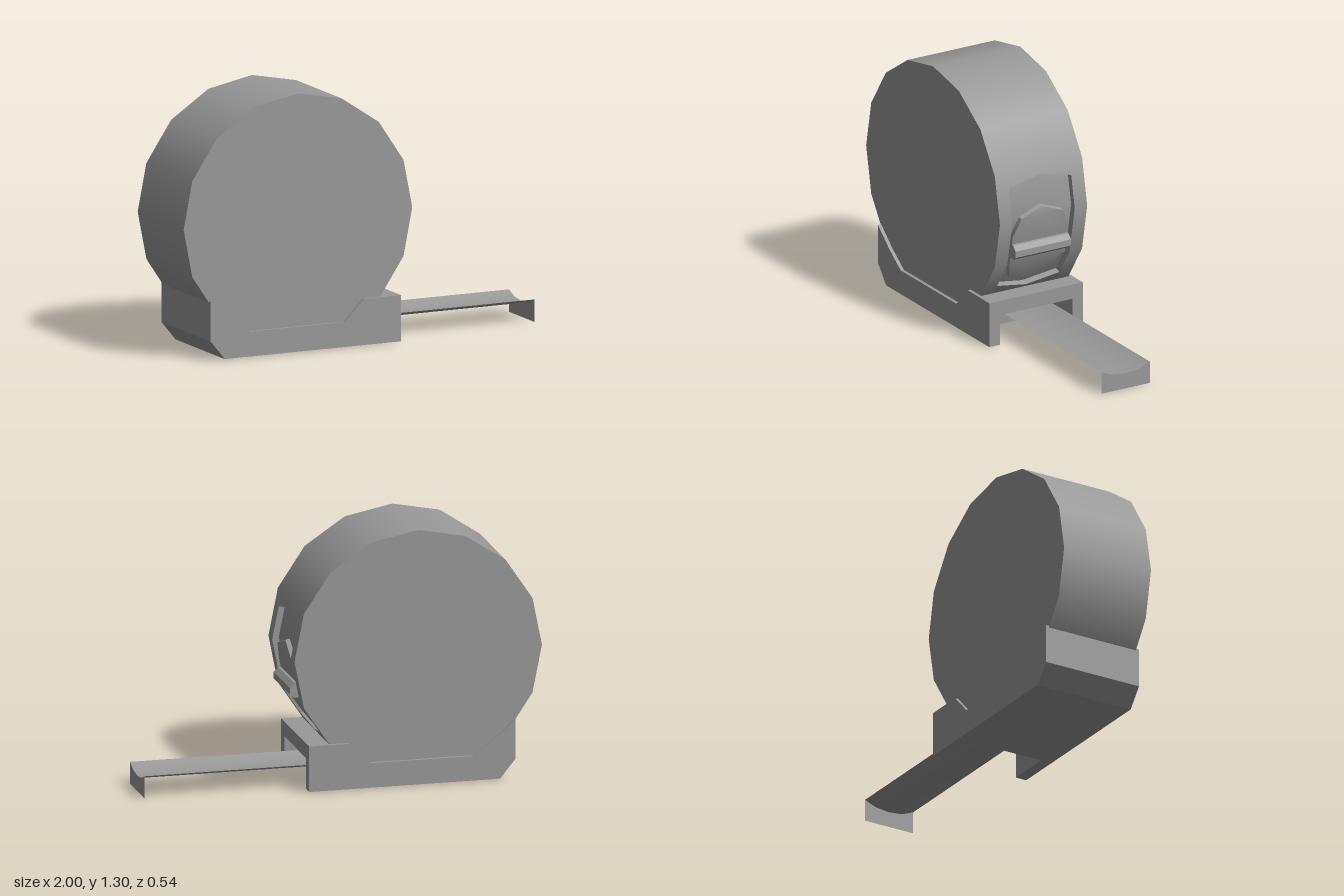
import * as THREE from 'three';
import { toCreasedNormals } from 'three/addons/utils/BufferGeometryUtils.js';

const CX = -0.37, CY = 0.67, R = 0.63, SIDES = 16;
const material = new THREE.MeshStandardMaterial({ color: 0x999999 });
const thinMaterial = new THREE.MeshStandardMaterial({ color: 0x999999, side: THREE.DoubleSide });

function addMesh(parent, name, geometry, mat = material) {
  const mesh = new THREE.Mesh(geometry, mat);
  mesh.name = name;
  parent.add(mesh);
  return mesh;
}

// corner k of the 16-sided case outline; corner 13 is tucked up to clear the tape mouth
function corner(k) {
  const a = (k * 2 * Math.PI) / SIDES;
  return [CX + R * Math.cos(a), k === 13 ? 0.125 : CY + R * Math.sin(a)];
}

// x of the case's nose side at height y
function noseX(y) {
  for (let k = -3; k < 4; k++) {
    const [x0, y0] = corner(k), [x1, y1] = corner(k + 1);
    if (y <= y1) return x0 + ((x1 - x0) * (y - y0)) / (y1 - y0);
  }
  return CX;
}

// flat outline in x, y extruded from z0 to z1
function slab(points, z0, z1) {
  const shape = new THREE.Shape(points.map(([x, y]) => new THREE.Vector2(x, y)));
  const geometry = new THREE.ExtrudeGeometry(shape, { depth: z1 - z0, bevelEnabled: false });
  return toCreasedNormals(geometry.translate(0, 0, z0), 0.5);
}

// join counter-clockwise x, y profiles placed at increasing z, with end caps
function loft(profiles, zs) {
  const n = profiles[0].length, position = [], index = [];
  profiles.forEach((p, s) => p.forEach(([x, y]) => position.push(x, y, zs[s])));
  for (let s = 0; s < zs.length - 1; s++) {
    for (let i = 0; i < n; i++) {
      const j = (i + 1) % n, a = s * n + i, b = s * n + j;
      index.push(a, b, b + n, a, b + n, a + n);
    }
  }
  const last = (zs.length - 1) * n;
  const cap = (p) => THREE.ShapeUtils.triangulateShape(p.map(([x, y]) => new THREE.Vector2(x, y)), []);
  cap(profiles[0]).forEach(([a, b, c]) => index.push(a, c, b));
  cap(profiles[zs.length - 1]).forEach(([a, b, c]) => index.push(last + a, last + b, last + c));
  const geometry = new THREE.BufferGeometry();
  geometry.setAttribute('position', new THREE.Float32BufferAttribute(position, 3));
  geometry.setIndex(index);
  return toCreasedNormals(geometry, 0.5);
}

// point the rim's normals straight out from the case axis for even shading
function roundRim(geometry) {
  const { position, normal } = geometry.attributes;
  for (let i = 0; i < position.count; i++) {
    const dx = position.getX(i) - CX, dy = position.getY(i) - CY, r = Math.hypot(dx, dy);
    const outward = (normal.getX(i) * dx + normal.getY(i) * dy) / r;
    if (r > 0.97 * R && outward > 0.8) normal.setXYZ(i, dx / r, dy / r, 0);
  }
  return geometry;
}

// middle slice of the case, with the nose recess between two heights
function recessProfile(top, bottom) {
  const inward = ([x, y]) => [x - 0.034, y + 0.01];
  const topEdge = [noseX(top), top], bottomEdge = [noseX(bottom), bottom];
  const points = [topEdge];
  for (let k = 1; k <= 14; k++) points.push(corner(k));
  points.push(bottomEdge, inward(bottomEdge), inward(corner(-1)), inward(corner(0)), inward(topEdge));
  return points;
}

// button plate slice following the case between two heights
function plateProfile(bottom, top) {
  const heights = [bottom, corner(-1)[1], 0.55, corner(0)[1], top]
    .map((y) => THREE.MathUtils.clamp(y, bottom, top));
  const outer = heights.map((y) => [noseX(y) - 0.011, y]);
  const inner = outer.map(([x, y]) => [x - 0.049, y + 0.014]).reverse();
  return [...outer, ...inner];
}

export function createModel() {
  const model = new THREE.Group();
  model.name = 'tapeMeasure';

  // round case: two side discs and a recessed middle
  const body = new THREE.Group();
  body.name = 'case';
  model.add(body);
  const outline = Array.from({ length: SIDES }, (_, k) => corner(k));
  addMesh(body, 'caseLeftSide', roundRim(slab(outline, 0.18, 0.252)));
  addMesh(body, 'caseRightSide', roundRim(slab(outline, -0.252, -0.18)));
  const edge = recessProfile(0.837, 0.285);
  addMesh(body, 'caseMiddle', roundRim(loft([edge, recessProfile(0.875, 0.25), edge], [-0.18, 0, 0.18])));

  // lock button: curved plate and finger ridge
  const lock = new THREE.Group();
  lock.name = 'lockButton';
  model.add(lock);
  const end = plateProfile(0.42, 0.575), shoulder = plateProfile(0.323, 0.67);
  addMesh(lock, 'buttonPlate', loft(
    [end, shoulder, plateProfile(0.284, 0.713), shoulder, end],
    [-0.16, -0.12, 0, 0.12, 0.16],
  ));
  const ridge = [[0.18, 0.465], [0.235, 0.46], [0.258, 0.477], [0.258, 0.51], [0.235, 0.533], [0.18, 0.545]];
  addMesh(lock, 'buttonRidge', slab(ridge, -0.16, 0.16));

  // foot: two cheeks and a middle block with the tape mouth open below
  const foot = new THREE.Group();
  foot.name = 'foot';
  model.add(foot);
  const floor = 0.005;
  const upper = [[0.19, 0.237], [-0.015, 0.237], [-0.12, 0.13], [-0.645, 0.13],
    [-0.75, 0.205], [-0.86, 0.3], [-0.86, 0.1], [-0.782, floor]];
  const cheek = [...upper, [0.19, floor]];
  const middle = [...upper, [-0.045, floor], [-0.045, 0.162], [0.19, 0.162]];
  addMesh(foot, 'footLeftCheek', slab(cheek, 0.21, 0.27));
  addMesh(foot, 'footRightCheek', slab(cheek, -0.27, -0.21));
  addMesh(foot, 'footMiddle', slab(middle, -0.21, 0.21));

  // blade: thin curved strip, rows running from -z to +z
  const section = [[-0.16, 0.113], [-0.097, 0.088], [-0.021, 0.08], [0.055, 0.088], [0.118, 0.113]];
  const strip = new THREE.PlaneGeometry(1, 1, 1, section.length - 1);
  const pos = strip.attributes.position;
  for (let i = 0; i < pos.count; i++) {
    const [z, y] = section[Math.floor(i / 2)];
    pos.setXYZ(i, i % 2 ? 1 : -0.045, y, z);
  }
  strip.computeVertexNormals();
  addMesh(model, 'blade', strip, thinMaterial);

  // end hook: flat plate under the blade tip
  const hook = new THREE.Shape([[-0.118, 0], [0.16, 0], ...section.map(([z, y]) => [-z, y])]
    .map(([u, y]) => new THREE.Vector2(u, y)));
  const hookGeometry = new THREE.ShapeGeometry(hook).rotateY(Math.PI / 2).translate(1, 0, 0);
  addMesh(model, 'endHook', hookGeometry, thinMaterial);

  return model;
}
